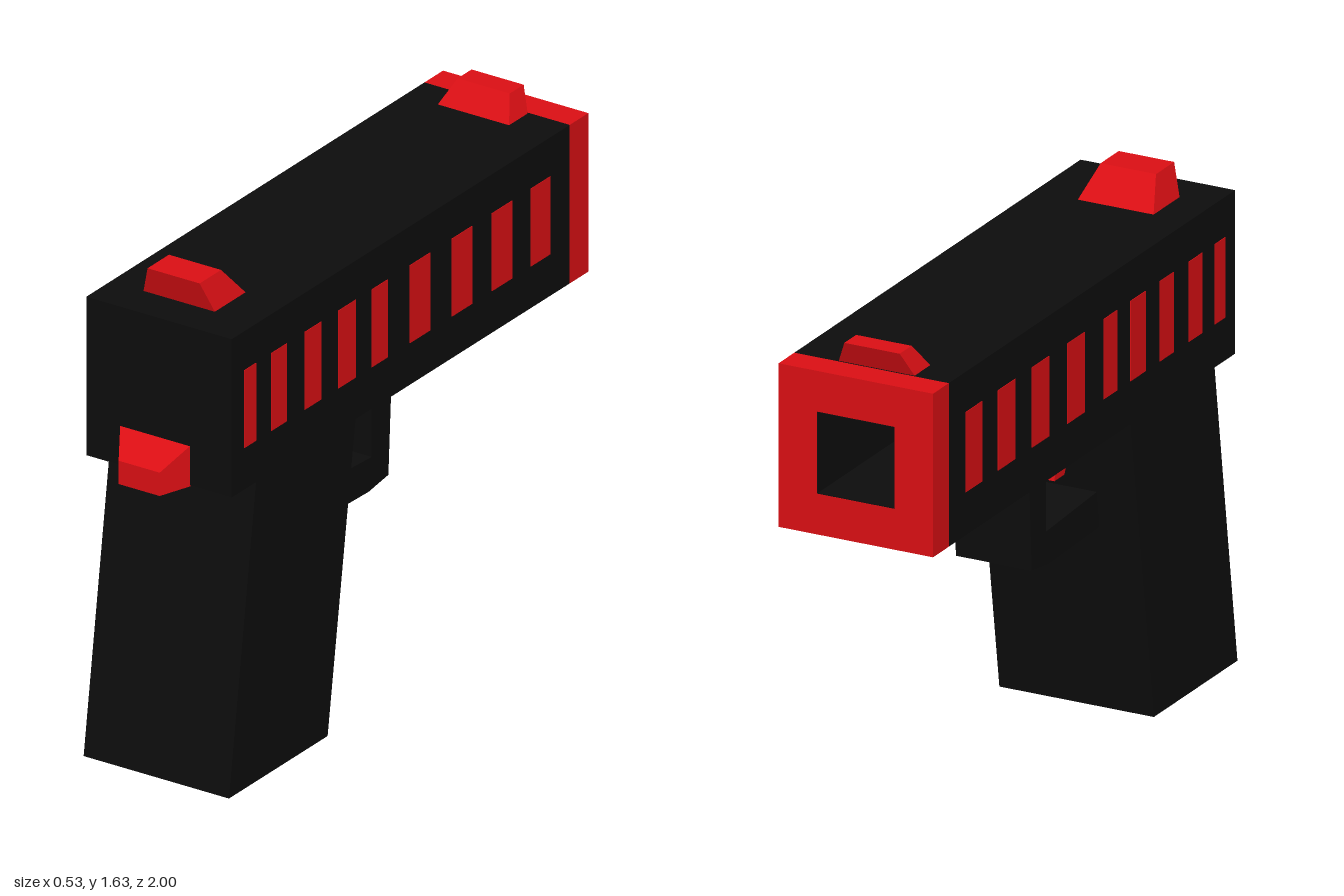
import * as THREE from 'three';

const black = new THREE.MeshStandardMaterial({ color: 0x0d0d0d, flatShading: true });
const red = new THREE.MeshStandardMaterial({ color: 0xdb0f14, flatShading: true });

function part(name, geometry, material) {
  const mesh = new THREE.Mesh(geometry, material);
  mesh.name = name;
  return mesh;
}

// Box between two corners
function box(x0, x1, y0, y1, z0, z1) {
  return new THREE.BoxGeometry(x1 - x0, y1 - y0, z1 - z0)
    .translate((x0 + x1) / 2, (y0 + y1) / 2, (z0 + z1) / 2);
}

// Six-sided block whose corners are placed by a rule on (right/left, low/high, back/front)
function block(rule) {
  const g = new THREE.BoxGeometry(2, 2, 2);
  const p = g.attributes.position;
  for (let i = 0; i < p.count; i++) p.setXYZ(i, ...rule(p.getX(i) > 0, p.getY(i) > 0, p.getZ(i) > 0));
  g.computeVertexNormals();
  return g;
}

// Square tube along z: half width w, heights y0..y1, with a centred square hole
function frame(w, y0, y1, hole, z0, z1) {
  const cy = 1.265;
  const rect = (T, a, b, c, d) => {
    const s = new T();
    s.moveTo(a, c); s.lineTo(b, c); s.lineTo(b, d); s.lineTo(a, d); s.closePath();
    return s;
  };
  const s = rect(THREE.Shape, -w, w, y0, y1);
  s.holes.push(rect(THREE.Path, -hole, hole, cy - hole, cy + hole));
  return new THREE.ExtrudeGeometry(s, { depth: z1 - z0, bevelEnabled: false }).translate(0, 0, z0);
}

// Side outline of [z, y] points, extruded across x
function profile(points, halfWidth) {
  const s = new THREE.Shape(points.map(([z, y]) => new THREE.Vector2(-z, y)));
  return new THREE.ExtrudeGeometry(s, { depth: halfWidth * 2, bevelEnabled: false })
    .rotateY(Math.PI / 2).translate(-halfWidth, 0, 0);
}

// Sight: side outline given by base and top z ranges, narrowing upwards
function sight(baseBack, baseFront, topBack, topFront, topY) {
  return block((l, h, f) => [
    h ? (l ? 0.08 : -0.11) : (l ? 0.115 : -0.145),
    h ? topY : 1.53,
    h ? (f ? topFront : topBack) : (f ? baseFront : baseBack),
  ]);
}

export function createModel() {
  const model = new THREE.Group();
  model.name = 'toyBlaster';
  const W = 0.265;

  // Slide body, hollow towards the muzzle
  model.add(part('slideRear', box(-W, W, 1, 1.53, -0.3, 0.915), black));
  model.add(part('slideFront', frame(W, 1, 1.53, 0.133, -0.9, -0.3), black));
  model.add(part('muzzle', frame(W, 1, 1.53, 0.133, -1, -0.9), red));
  model.add(part('barrelLining', frame(0.133, 1.132, 1.398, 0.13, -0.999, -0.3), black));

  // Red side stripes, both sides
  const stripes = [
    [0.785, 0.85], [0.62, 0.705], [0.435, 0.525], [0.25, 0.345], [0.08, 0.165],
    [-0.15, -0.04], [-0.375, -0.265], [-0.59, -0.48], [-0.795, -0.69],
  ];
  for (const side of [-1, 1]) {
    const group = new THREE.Group();
    group.name = side > 0 ? 'leftStripes' : 'rightStripes';
    for (const [z0, z1] of stripes) {
      const x = side * (W - 0.008);
      group.add(part('stripe', box(x - 0.01, x + 0.01, 1.14, 1.4, z0, z1), red));
    }
    model.add(group);
  }

  // Slanted grip with a red plate underneath
  model.add(part('grip', block((l, h, f) => [
    l ? W : -W, h ? 1 : 0, h ? (f ? 0.785 : 0.25) : (f ? 0.93 : 0.4),
  ]), black));
  model.add(part('gripPlate', box(-0.13, 0.13, -0.002, 0.01, 0.485, 0.845), red));

  // Trigger and its guard
  model.add(part('trigger', profile(
    [[0.25, 1], [0.165, 1], [0.12, 0.825], [0.185, 0.825]], 0.075), red));
  model.add(part('triggerGuard', profile([
    [0.33, 0.745], [-0.035, 0.725], [-0.035, 1.0], [-0.145, 1.0],
    [-0.125, 0.63], [-0.02, 0.615], [0.33, 0.625],
  ], 0.13), black));

  // Sights
  model.add(part('rearSight', sight(0.62, 0.785, 0.7, 0.815, 1.627), red));
  model.add(part('muzzleSight', sight(-0.895, -0.795, -0.925, -0.85, 1.605), red));

  // Hammer at the rear, narrowing outwards
  model.add(part('hammer', block((l, h, f) => [
    f ? (l ? 0.06 : -0.09) : (l ? 0.115 : -0.145),
    h ? (f ? 1.062 : 1.135) : (f ? 0.984 : 0.997),
    f ? 1 : 0.91,
  ]), red));

  return model;
}
